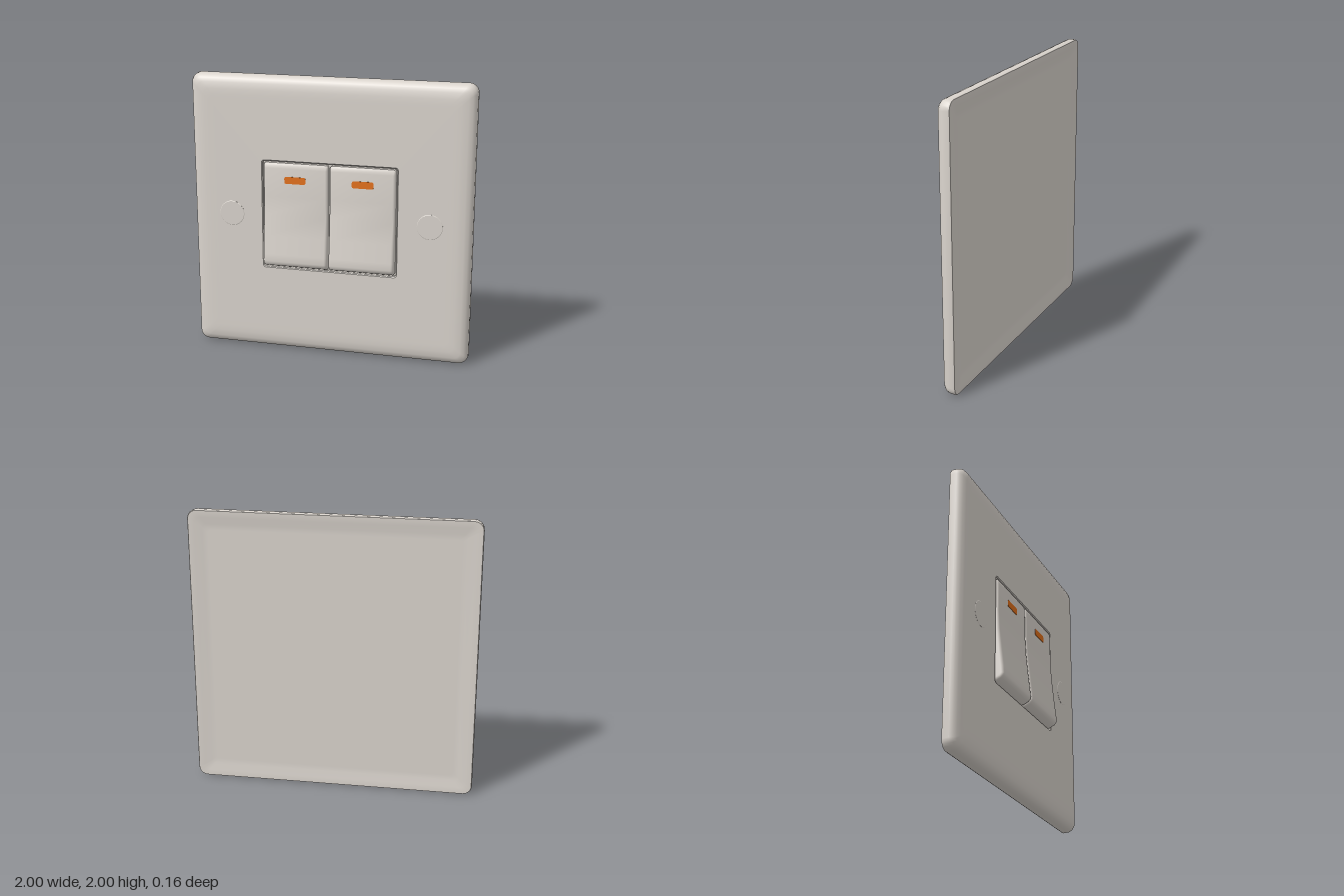
import * as THREE from 'three';
import { toCreasedNormals } from 'three/addons/utils/BufferGeometryUtils.js';

const STEPS = 6; // segments per rounded corner

// Rounded rectangle of points, counter-clockwise seen from the front
function ring([halfW, halfH, radius, z, cy = 1]) {
  const points = [];
  for (let corner = 0; corner < 4; corner++) {
    const sx = corner === 0 || corner === 3 ? 1 : -1;
    const sy = corner < 2 ? 1 : -1;
    for (let i = 0; i <= STEPS; i++) {
      const a = (corner + i / STEPS) * Math.PI / 2;
      points.push(
        sx * (halfW - radius) + radius * Math.cos(a),
        cy + sy * (halfH - radius) + radius * Math.sin(a),
        z
      );
    }
  }
  return points;
}

// Skin joining consecutive rings; closed by a centre point at both ends
function loft(sections, crease) {
  const n = 4 * (STEPS + 1);
  const position = sections.flatMap(ring);
  const index = [];
  const last = sections.length - 1;
  for (let s = 0; s < last; s++) {
    for (let i = 0; i < n; i++) {
      const j = (i + 1) % n;
      const a = s * n + i, b = s * n + j, c = a + n, d = b + n;
      index.push(a, b, d, a, d, c);
    }
  }
  const centre = position.length / 3;
  const first = sections[0], end = sections[last];
  position.push(0, first[4] ?? 1, first[3], 0, end[4] ?? 1, end[3]);
  for (let i = 0; i < n; i++) {
    const j = (i + 1) % n;
    index.push(centre, j, i, centre + 1, last * n + i, last * n + j);
  }
  const geometry = new THREE.BufferGeometry();
  geometry.setAttribute('position', new THREE.Float32BufferAttribute(position, 3));
  geometry.setIndex(index);
  return toCreasedNormals(geometry, crease);
}

export function createModel() {
  const model = new THREE.Group();
  model.name = 'lightSwitch';
  const plastic = new THREE.MeshStandardMaterial({ color: 0xdad4cd });
  plastic.name = 'warm grey plastic';
  const amber = new THREE.MeshStandardMaterial({ color: 0xe2701a });
  amber.name = 'amber indicator';

  const add = (name, geometry, material, x = 0, y = 0, z = 0) => {
    const mesh = new THREE.Mesh(geometry, material);
    mesh.name = name;
    mesh.position.set(x, y, z);
    model.add(mesh);
    return mesh;
  };

  // Wall plate: shallow back recess, rim, rounded outer edge, flat front, rocker opening
  add('wallPlate', loft([
    [0.86, 0.86, 0.03, -0.068],
    [0.9, 0.9, 0.03, -0.068],
    [0.95, 0.95, 0.04, -0.08],
    [0.995, 0.995, 0.06, -0.08],
    [1, 1, 0.065, -0.07],
    [0.998, 0.998, 0.065, -0.03],
    [0.99, 0.99, 0.06, -0.008],
    [0.972, 0.972, 0.05, 0.01],
    [0.945, 0.945, 0.045, 0.021],
    [0.9, 0.9, 0.04, 0.027],
    [0.86, 0.86, 0.04, 0.028],
    [0.82, 0.82, 0.04, 0.028],
    [0.486, 0.396, 0.022, 0.028, 1.018],
    [0.48, 0.39, 0.02, 0.022, 1.018],
    [0.48, 0.39, 0.02, 0.0, 1.018],
  ], 0.6), plastic);

  // Rocker: side profile (z, y) extruded across its width with rounded edges
  const bevel = 0.02, width = 0.464;
  const profile = [
    [-0.02, 0.635], [0.025, 0.637], [0.066, 0.655], [0.08, 0.672], [0.084, 0.69],
    [0.079, 0.74], [0.064, 0.87], [0.049, 1.02], [0.041, 1.16], [0.039, 1.36],
    [0.035, 1.385], [0.026, 1.398], [-0.02, 1.4],
  ].map(([z, y]) => new THREE.Vector2(z, y));
  const extruded = new THREE.ExtrudeGeometry(new THREE.Shape(profile), {
    depth: width - 2 * bevel, bevelEnabled: true, bevelSize: bevel,
    bevelThickness: bevel, bevelOffset: -bevel, bevelSegments: 4,
  });
  extruded.translate(0, 0, bevel - width / 2).rotateY(-Math.PI / 2);
  const rocker = toCreasedNormals(extruded, 0.6);

  // Indicator window: thin rounded strip
  const indicator = loft([
    [0.076, 0.025, 0.012, -0.004, 0],
    [0.076, 0.025, 0.012, 0.003, 0],
  ], 0.6);

  // Screw cover: low disc with a softened rim
  const coverProfile = [[0.09, 0], [0.09, 0.005], [0.087, 0.007], [0, 0.007]]
    .map(([r, h]) => new THREE.Vector2(r, h));
  const cover = toCreasedNormals(
    new THREE.LatheGeometry(coverProfile, 32).rotateX(Math.PI / 2), 0.5);

  for (const [side, s] of [['left', 1], ['right', -1]]) {
    add(`${side}Rocker`, rocker, plastic, s * 0.238, 0, 0);
    add(`${side}Indicator`, indicator, amber, s * 0.241, 1.28, 0.0398).rotation.x = -0.01;
    add(`${side}ScrewCover`, cover, plastic, s * 0.71, 1.01, 0.0235);
  }
  return model;
}
